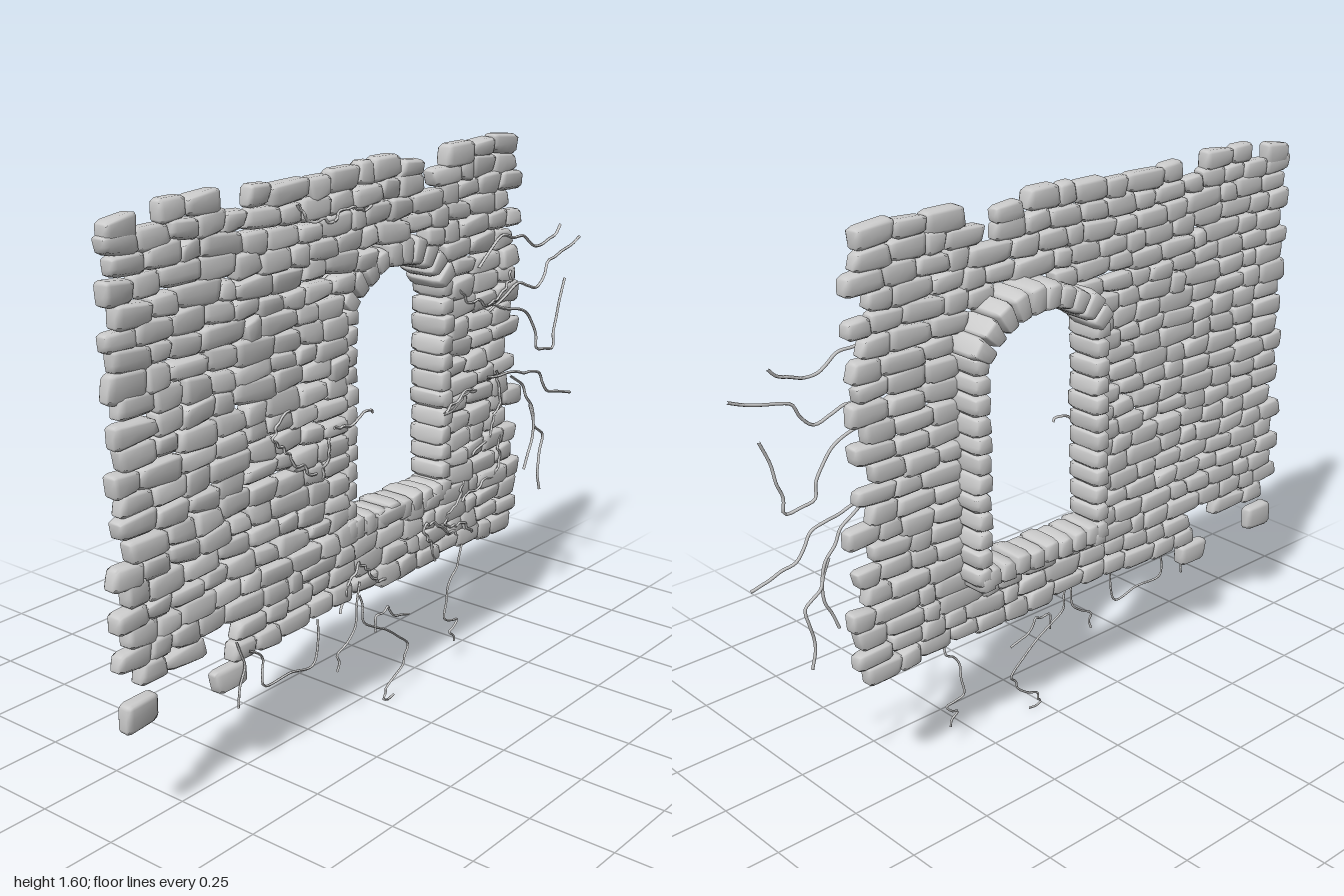
import * as THREE from 'three';
import { mergeGeometries, mergeVertices } from 'three/addons/utils/BufferGeometryUtils.js';

let seed = 7;
const rand = () => {
  seed = (seed * 16807) % 2147483647;
  return seed / 2147483647;
};
const jitter = (a) => (rand() * 2 - 1) * a;

const material = new THREE.MeshStandardMaterial({ color: 0xcccccc, roughness: 0.9 });

// Window: opening half width, arch circle and frame thickness
const WIN = { x: 0.1, half: 0.19, bottom: 0.605, spring: 1.19, radius: 0.2375, arcY: 1.045, thick: 0.055 };

// Rounded, slightly crooked block centred on the origin; taper widens the top
function stone(w, h, d, rough = 0.007, taper = 0) {
  let g = new THREE.BoxGeometry(2, 2, 2, 4, 4, 3);
  g.deleteAttribute('normal');
  g.deleteAttribute('uv');
  g = mergeVertices(g);
  const c = Array.from({ length: 8 }, () => jitter(rough));
  const bulge = jitter(rough * 0.5);
  const bevel = Math.min(w, h, d) * 0.17;
  const spread = (u) => Math.sign(u) * Math.sqrt(Math.abs(u));
  const mix = (a, b, x, y) => (c[a] * (1 - x) + c[b] * (1 + x)) / 2 * (1 + 0.3 * y);
  const p = g.attributes.position;
  for (let i = 0; i < p.count; i++) {
    const x = spread(p.getX(i)), y = spread(p.getY(i)), z = spread(p.getZ(i));
    const round = (u, a, b, size) => u * size / 2 - Math.sign(u) * u ** 4 * bevel * (a ** 8 + b ** 8) * 0.6;
    let px = round(x, y, z, w) + (x > 0 ? c[4] : c[5]) * y * Math.abs(x);
    const py = round(y, x, z, h) + (y > 0 ? mix(0, 1, x, z) : mix(2, 3, x, z)) * Math.abs(y);
    let pz = round(z, x, y, d);
    // the front is fuller and rougher than the back
    if (z > 0) pz += z * (bulge + c[6] * x * 0.5 + c[7] * y * 0.5);
    px *= 1 + taper * y;
    p.setXYZ(i, px, py, pz);
  }
  return g;
}

function add(parent, name, geometries) {
  const g = mergeGeometries(geometries);
  g.computeVertexNormals();
  const mesh = new THREE.Mesh(g, material);
  mesh.name = name;
  parent.add(mesh);
}

// Gentle waviness of the courses
const wave = (x, y) => 0.009 * Math.sin(5 * x + 4 * y) + 0.005 * Math.sin(11 * x - 7 * y);

// Fill a stretch of one course with stones of uneven length
function fillRun(list, x0, x1, y, h) {
  const len = x1 - x0;
  if (len < 0.025) return;
  const n = Math.max(1, Math.round(len / 0.1));
  const cuts = [x0];
  for (let i = 1; i < n; i++) cuts.push(x0 + (len * (i + jitter(0.28))) / n);
  cuts.push(x1);
  for (let i = 0; i < n; i++) {
    const w = cuts[i + 1] - cuts[i], x = cuts[i] + w / 2;
    const g = stone(w + 0.003, h + jitter(0.005), 0.048 + jitter(0.003));
    g.rotateZ(jitter(0.035));
    g.translate(x, y + wave(x, y) + jitter(0.003), 0.038 + jitter(0.002));
    list.push(g);
  }
}

function buildWall() {
  const wall = new THREE.Group();
  wall.name = 'wall';
  const rows = 22, pitch = 0.0555, base = 0.39;
  for (let r = 0; r < rows; r++) {
    const y = base + r * pitch;
    let left = (r % 2 ? -0.95 : -0.975) + jitter(0.015);
    let right = (r % 2 ? 0.685 : 0.64) + jitter(0.025);
    const gaps = [];
    // broken bottom and top courses
    if (r === 0) { left = -0.6; right = 0.67; }
    if (r === 1) { left = -0.92; right = 0.7; gaps.push([-0.7, -0.58]); }
    if (r === 2) { left = -0.99; right = 0.69; }
    if (r === rows - 2) gaps.push([0.2, 0.24]);
    if (r === rows - 1) { left = -0.8; right = 0.64; gaps.push([-0.6, -0.5], [0.085, 0.3]); }
    // leave room for the window
    if (y > 0.575 && y < WIN.spring) gaps.push([WIN.x - WIN.half - 0.04, WIN.x + WIN.half + 0.04]);
    else if (y >= WIN.spring) {
      const rr = (WIN.radius + 0.06) ** 2 - (y - 0.012 - WIN.arcY) ** 2;
      if (rr > 0) gaps.push([WIN.x - Math.sqrt(rr), WIN.x + Math.sqrt(rr)]);
    }
    const list = [];
    let x = left;
    for (const [a, b] of gaps) {
      fillRun(list, x, a, y, pitch + 0.003);
      x = b;
    }
    fillRun(list, x, right, y, pitch + 0.003);
    add(wall, 'course' + (r + 1), list);
  }
  // loose stones hanging on below and sitting on top
  const loose = [[-0.92, 0.345, 0.11, 0.075], [-0.605, 0.312, 0.11, 0.07], [-0.92, 1.535, 0.1, 0.06], [0.15, 1.54, 0.1, 0.06]];
  add(wall, 'looseStones', loose.map(([x, y, w, h]) =>
    stone(w, h, 0.045).rotateZ(jitter(0.1)).translate(x, y, 0.038)));
  return wall;
}

function buildFrame() {
  const frame = new THREE.Group();
  frame.name = 'windowFrame';
  const { x, half, bottom, spring, radius, arcY, thick } = WIN;
  // side jambs
  for (const side of [-1, 1]) {
    const list = [], n = 12, y0 = 0.55, step = (spring + 0.02 - y0) / n;
    for (let i = 0; i < n; i++) {
      list.push(stone(thick + jitter(0.005), step + 0.002, 0.122 + jitter(0.004), 0.004)
        .translate(x + side * (half + thick / 2) + jitter(0.003), y0 + (i + 0.5) * step, 0));
    }
    add(frame, side < 0 ? 'rightJamb' : 'leftJamb', list);
  }
  // sill
  const sill = [], count = 8, step = (half * 2 + 0.05) / count;
  for (let i = 0; i < count; i++) {
    sill.push(stone(step + 0.002, 0.065, 0.122, 0.004)
      .translate(x - half - 0.025 + (i + 0.5) * step, bottom - 0.034 + jitter(0.004), 0));
  }
  for (const s of [-1, 1]) sill.push(stone(0.055, 0.05, 0.1, 0.004).translate(x + s * (half + 0.02), 0.555, -0.012));
  add(frame, 'sill', sill);
  // arch of wedge stones
  const arch = [], wedges = 10, span = Math.asin(half / radius) + 0.05, da = (2 * span) / wedges;
  for (let i = 0; i < wedges; i++) {
    const h = 0.075 + jitter(0.008), mid = radius + h / 2;
    arch.push(stone(da * mid + 0.002, h, 0.13 + jitter(0.004), 0.005, h / 2 / mid)
      .translate(0, mid, 0).rotateZ(span - (i + 0.5) * da).translate(x, arcY, -0.004));
  }
  add(frame, 'arch', arch);
  return frame;
}

// Thin crooked root along points [x, y]
function vine(points, r = 0.0035, z = 0.068) {
  const pts = [];
  points.forEach(([px, py], i) => {
    pts.push(new THREE.Vector3(px, py, z + jitter(0.003)));
    const next = points[i + 1];
    if (next) pts.push(new THREE.Vector3((px + next[0]) / 2 + jitter(0.01), (py + next[1]) / 2 + jitter(0.008), z + jitter(0.003)));
  });
  return new THREE.TubeGeometry(new THREE.CatmullRomCurve3(pts), pts.length * 4, r, 5);
}

function buildVines() {
  const vines = new THREE.Group();
  vines.name = 'vines';
  add(vines, 'sideVines', [
    [[0.45, 1.22], [0.56, 1.3], [0.68, 1.28], [0.74, 1.24], [0.82, 1.25], [0.88, 1.285]],
    [[0.5, 1.08], [0.66, 1.14], [0.76, 1.11], [0.82, 1.18], [0.9, 1.2], [0.996, 1.23]],
    [[0.52, 1.1], [0.66, 1.06], [0.74, 1.0], [0.77, 0.915], [0.86, 0.9], [0.88, 0.99], [0.92, 1.11]],
    [[0.5, 0.88], [0.62, 0.87], [0.7, 0.85], [0.79, 0.83], [0.84, 0.76], [0.92, 0.74], [0.975, 0.725]],
    [[0.62, 0.86], [0.7, 0.81], [0.75, 0.73], [0.76, 0.62], [0.72, 0.53]],
    [[0.74, 0.74], [0.77, 0.66], [0.82, 0.62], [0.8, 0.53], [0.81, 0.44]],
  ].map((p) => vine(p, 0.0045)));
  add(vines, 'hangingVines', [
    [[-0.6, 0.42], [-0.57, 0.34], [-0.6, 0.23]],
    [[-0.56, 0.38], [-0.5, 0.33], [-0.5, 0.255], [-0.3, 0.24], [-0.28, 0.37]],
    [[-0.1, 0.42], [-0.12, 0.29], [-0.2, 0.23], [-0.2, 0.18]],
    [[-0.1, 0.38], [-0.08, 0.29], [0.02, 0.23], [0.13, 0.14], [0.1, 0.09], [0.02, 0.04], [0.01, 0.012], [0.06, 0.006]],
    [[0.13, 0.24], [0.06, 0.26], [0.03, 0.3], [-0.03, 0.29], [-0.03, 0.24]],
    [[0.39, 0.38], [0.37, 0.31], [0.32, 0.26], [0.31, 0.16], [0.37, 0.14], [0.33, 0.11], [0.36, 0.07]],
  ].map((p) => vine(p)));
  // creepers wandering over the face of the wall
  const creepers = [];
  const patches = [[-0.2, 1.45], [-0.4, 0.88], [-0.2, 0.9], [0.22, 0.5], [0.3, 0.47], [0.45, 0.85], [0.55, 0.75], [-0.1, 0.48], [0.5, 1.1], [0.55, 0.55]];
  for (const [cx, cy] of patches) {
    for (let k = 0; k < 2; k++) {
      const dir = rand() * Math.PI * 2;
      const pts = [[cx, cy]];
      for (let i = 0, a = dir; i < 5; i++) {
        a += jitter(1);
        const [lx, ly] = pts[i];
        pts.push([lx + Math.cos(a) * 0.035, ly + Math.sin(a) * 0.03]);
      }
      creepers.push(vine(pts, 0.004, 0.064));
    }
  }
  add(vines, 'wallCreepers', creepers);
  return vines;
}

export function createModel() {
  seed = 7;
  const model = new THREE.Group();
  model.name = 'ruinedWindowWall';
  model.add(buildWall(), buildFrame(), buildVines());
  return model;
}
